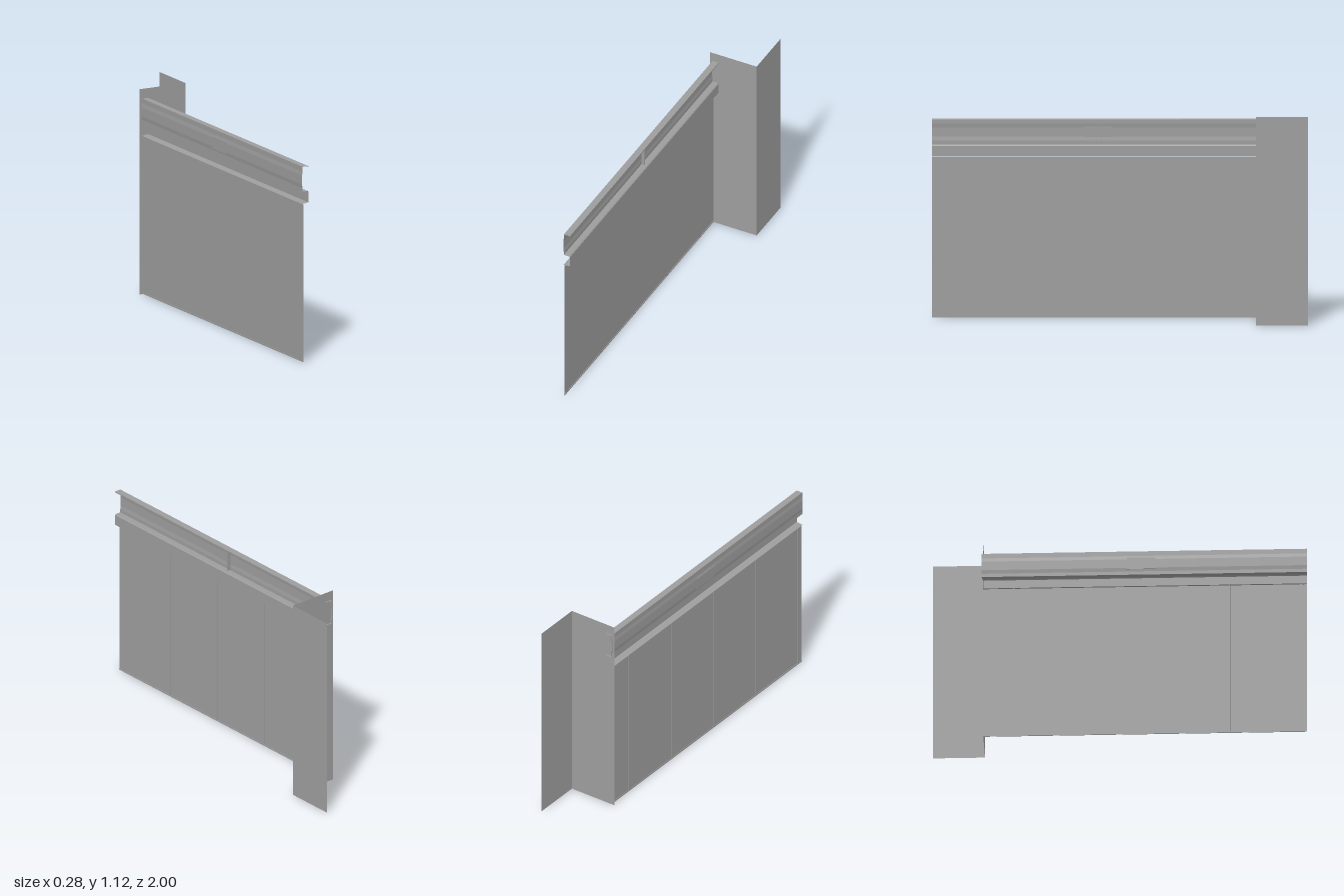
import * as THREE from 'three';

const material = new THREE.MeshStandardMaterial({ color: 0x9d9d9d, side: THREE.DoubleSide, flatShading: true });

// Sheet made by sweeping an open x,y profile along z
function sheet(name, profile, z0, z1) {
  const pos = [];
  for (let i = 0; i < profile.length - 1; i++) {
    const [ax, ay] = profile[i], [bx, by] = profile[i + 1];
    pos.push(ax, ay, z0, bx, by, z0, bx, by, z1, ax, ay, z0, bx, by, z1, ax, ay, z1);
  }
  const g = new THREE.BufferGeometry();
  g.setAttribute('position', new THREE.Float32BufferAttribute(pos, 3));
  g.computeVertexNormals();
  const m = new THREE.Mesh(g, material);
  m.name = name;
  return m;
}

// Box given by its two extreme corners
function box(name, x0, x1, y0, y1, z0, z1) {
  const m = new THREE.Mesh(new THREE.BoxGeometry(x1 - x0, y1 - y0, z1 - z0), material);
  m.position.set((x0 + x1) / 2, (y0 + y1) / 2, (z0 + z1) / 2);
  m.name = name;
  return m;
}

// Single upright plane, facing +z or turned to face +x
function wall(name, w, y0, y1, x, z, turn = 0) {
  const m = new THREE.Mesh(new THREE.PlaneGeometry(w, y1 - y0), material);
  m.position.set(x, (y0 + y1) / 2, z);
  m.rotation.y = turn;
  m.name = name;
  return m;
}

export function createModel() {
  const model = new THREE.Group();
  model.name = 'railingWithPillar';
  const zWall = -0.722, zFront = 1;

  // Pillar: two open walls meeting at a corner
  const pillar = new THREE.Group();
  pillar.name = 'pillar';
  pillar.add(
    wall('pillarFrontWall', 0.28, 0, 1.125, 0, zWall),
    wall('pillarSideWall', 0.278, 0, 1.125, 0.14, -0.861, Math.PI / 2)
  );
  model.add(pillar);

  // Upper channel, open towards +x, its end passing just through the pillar wall
  model.add(sheet('upperRail', [
    [-0.088, 1.066], [-0.088, 1.072], [-0.124, 1.072], [-0.124, 1.045],
    [-0.127, 1.025], [-0.127, 0.975], [-0.124, 0.955], [-0.124, 0.936], [-0.092, 0.936]
  ], -0.73, zFront));

  // Lower fascia returning to the top of the panels
  model.add(sheet('lowerRail', [
    [-0.092, 0.936], [-0.088, 0.931], [-0.088, 0.873], [-0.126, 0.868]
  ], zWall, zFront));

  // Joint in the middle of the upper rail
  model.add(
    box('railJointPlate', -0.124, -0.105, 0.938, 1.066, 0.099, 0.102),
    box('railJointSleeve', -0.13, -0.1265, 0.967, 1.033, 0.04, 0.195)
  );

  // Thin infill panel, foot strip, end post and evenly spaced seams
  const infill = new THREE.Group();
  infill.name = 'infill';
  infill.add(
    wall('infillPanel', zFront - zWall, 0.005, 0.866, -0.1195, (zFront + zWall) / 2, Math.PI / 2),
    box('footStrip', -0.122, -0.117, 0.002, 0.01, zWall, zFront)
  );
  for (let i = 0; i < 5; i++) {
    const z = -0.56 + i * 0.382;
    infill.add(box('panelSeam', -0.122, -0.117, 0.01, 0.866, z - 0.006, z + 0.006));
  }
  model.add(infill);

  return model;
}
